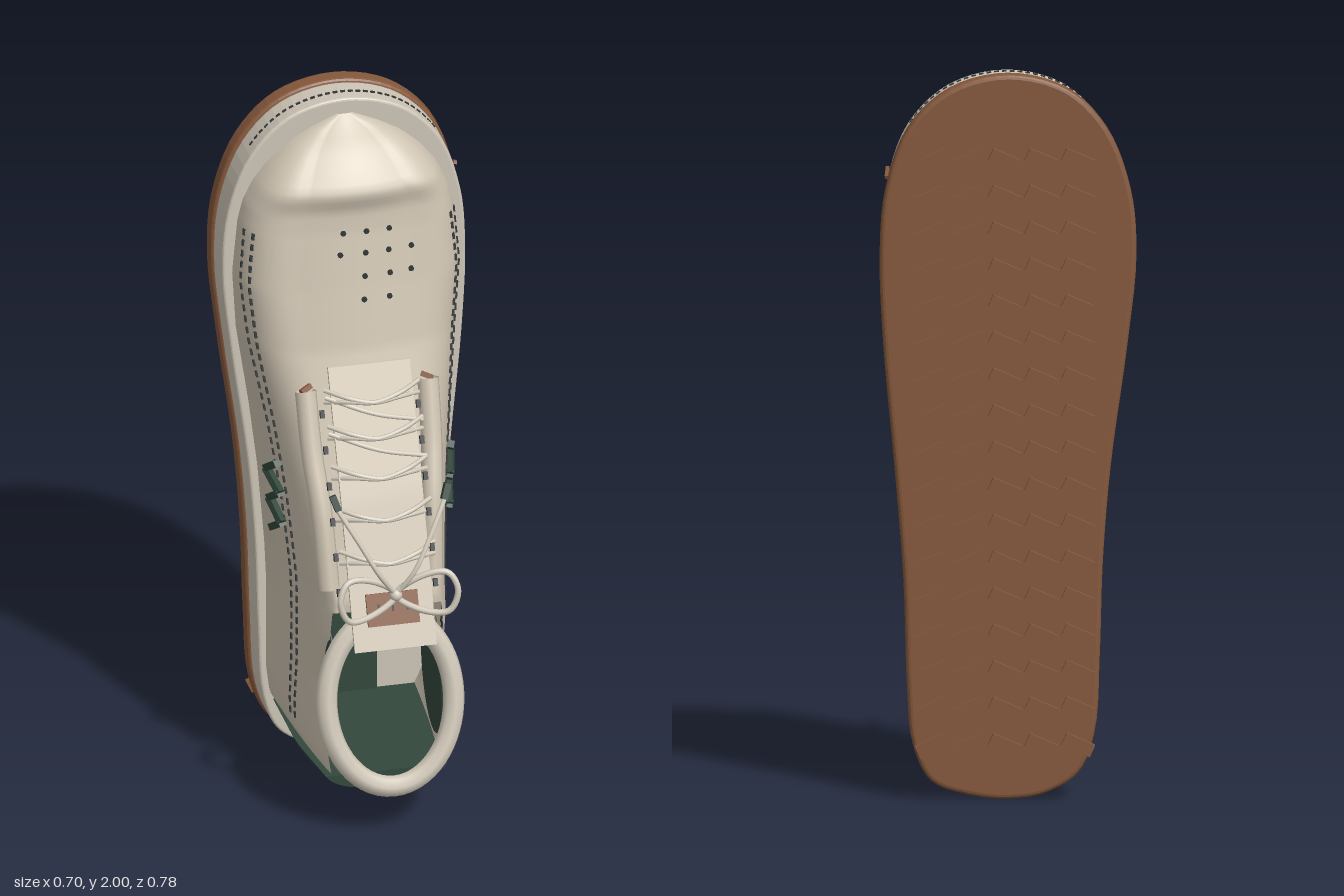
import * as THREE from 'three';

const mat = (name, color, side = THREE.FrontSide) => {
  const m = new THREE.MeshStandardMaterial({ color, side });
  m.name = name;
  return m;
};

// Upper stations: y, centre x, base half width, top half width, top z, side fullness, crown
const STATIONS = [
  [0.16, 0.00, 0.19, 0.150, 0.26, 0.3, 0],
  [0.20, 0.00, 0.21, 0.155, 0.25, 0.3, 0],
  [0.28, 0.01, 0.23, 0.165, 0.19, 0.3, 0],
  [0.40, 0.015, 0.235, 0.170, 0.14, 0.3, 0],
  [0.55, 0.02, 0.24, 0.160, 0.19, 0.3, 0],
  [0.66, 0.02, 0.245, 0.150, 0.20, 0.3, 0.01],
  [0.90, 0.015, 0.26, 0.160, 0.14, 0.4, 0.02],
  [1.10, 0.01, 0.28, 0.165, 0.075, 0.55, 0.02],
  [1.33, 0, 0.305, 0.165, 0.0, 0.8, 0.02],
  [1.50, 0, 0.315, 0.165, -0.035, 0.95, 0.02],
  [1.66, 0, 0.30, 0.16, -0.065, 1, 0.015],
  [1.72, 0, 0.285, 0.155, -0.07, 1, 0.015],
  [1.78, 0, 0.255, 0.14, -0.05, 1, 0.02],
  [1.83, 0, 0.215, 0.12, -0.085, 1, 0.02],
  [1.88, 0, 0.16, 0.09, -0.13, 1, 0.015],
  [1.92, 0, 0.09, 0.05, -0.18, 1, 0.01],
  [1.95, 0, 0.02, 0.01, -0.212, 1, 0]
];
const BASE = -0.225;

function station(y) {
  const c = THREE.MathUtils.clamp(y, 0.16, 1.95);
  let i = 0;
  while (i < STATIONS.length - 2 && STATIONS[i + 1][0] < c) i++;
  const a = STATIONS[i], b = STATIONS[i + 1], t = (c - a[0]) / (b[0] - a[0]);
  return a.map((v, k) => v + (b[k] - v) * t);
}

// Point on the upper: v runs -1..1 across the foot, the middle 0.6 is the instep
function upperPoint(y, v) {
  const [, cx, w, t, top, full, crown] = station(y);
  const a = Math.abs(v), s = Math.sign(v);
  if (a <= 0.6) return new THREE.Vector3(cx + t * v / 0.6, y, top - crown * (v / 0.6) ** 2);
  const q = (1 - a) / 0.4, edge = top - crown;
  const kx = THREE.MathUtils.lerp((w + t) / 2, w, full);
  const kz = THREE.MathUtils.lerp((BASE + edge) / 2, edge, full);
  const bez = (p0, p1, p2) => (1 - q) ** 2 * p0 + 2 * q * (1 - q) * p1 + q * q * p2;
  return new THREE.Vector3(cx + s * bez(w, kx, t), y, bez(BASE, kz, edge));
}

// Point on the side wall at a given height z
function wallPoint(y, z, side) {
  let lo = 0.6, hi = 1;
  for (let i = 0; i < 20; i++) {
    const m = (lo + hi) / 2;
    if (upperPoint(y, m).z > z) lo = m; else hi = m;
  }
  return upperPoint(y, side * lo);
}

function upperGeometry() {
  const rows = 110, cols = 40, pos = [], idx = [];
  for (let i = 0; i <= rows; i++)
    for (let j = 0; j <= cols; j++) pos.push(...upperPoint(0.16 + 1.79 * i / rows, j / cols * 2 - 1).toArray());
  for (let i = 0; i < rows; i++)
    for (let j = 0; j < cols; j++) {
      const y = 0.16 + 1.79 * (i + 0.5) / rows, v = (j + 0.5) / cols * 2 - 1;
      if (y < 0.63 && Math.abs(v) < 0.6) continue; // foot opening
      const a = i * (cols + 1) + j, b = a + 1, c = a + cols + 1, d = c + 1;
      idx.push(a, b, c, b, d, c);
    }
  const g = new THREE.BufferGeometry();
  g.setAttribute('position', new THREE.Float32BufferAttribute(pos, 3));
  g.setIndex(idx);
  g.computeVertexNormals();
  return g;
}

// Footprint of the sole, starting at the toe and going down the +x side
const OUTLINE = [[0, 2], [0.16, 1.96], [0.275, 1.85], [0.335, 1.68], [0.35, 1.5], [0.34, 1.25], [0.31, 0.92],
  [0.285, 0.6], [0.275, 0.3], [0.26, 0.15], [0.21, 0.05], [0.1, 0.01], [0, 0], [-0.1, 0.015], [-0.19, 0.07],
  [-0.235, 0.18], [-0.25, 0.4], [-0.258, 0.65], [-0.28, 0.92], [-0.325, 1.25], [-0.35, 1.5], [-0.335, 1.68], [-0.27, 1.85], [-0.16, 1.96]];
const outlineCurve = new THREE.CatmullRomCurve3(OUTLINE.map(([x, y]) => new THREE.Vector3(x, y, 0)), true);

function slab(inset, z0, z1, bevel) {
  const pts = outlineCurve.getPoints(120).slice(0, 120).map(p => new THREE.Vector2(p.x, p.y));
  const g = new THREE.ExtrudeGeometry(new THREE.Shape(pts.reverse()), {
    depth: z1 - z0 - 2 * bevel, bevelThickness: bevel, bevelSize: bevel, bevelOffset: -bevel - inset, bevelSegments: 3
  });
  return g.translate(0, 0, z0 + bevel);
}

export function createModel() {
  const group = new THREE.Group();
  const cream = mat('cream leather', 0xd0c5b3, THREE.DoubleSide);
  const chalk = mat('midsole cream', 0xcdc5b6);
  const lace = mat('lace cream', 0xd2cabb);
  const brown = mat('brown rubber', 0x85583b);
  const green = mat('dark green', 0x33483c, THREE.DoubleSide);
  const dark = mat('dark thread', 0x35383a);

  const add = (name, geo, material) => {
    const m = new THREE.Mesh(geo, material);
    m.name = name;
    group.add(m);
    return m;
  };
  const V = p => new THREE.Vector3(...p);
  const tube = (name, pts, r, material, closed = false, seg = 32) =>
    add(name, new THREE.TubeGeometry(new THREE.CatmullRomCurve3(pts.map(V), closed), seg, r, 8, closed), material);
  // Short bar between two points
  const bar = (name, a, b, thick, material) => {
    const m = add(name, new THREE.BoxGeometry(thick, a.distanceTo(b), thick), material);
    m.position.copy(a).lerp(b, 0.5);
    m.quaternion.setFromUnitVectors(new THREE.Vector3(0, 1, 0), b.clone().sub(a).normalize());
  };

  // Sole
  add('outsole', slab(0, -0.375, -0.318, 0.012), brown);
  add('midsole', slab(0.008, -0.32, -0.218, 0.008), chalk);
  for (let r = 0; r < 17; r++)
    for (let c = 0; c < 5; c++) {
      const lug = add('treadLug', new THREE.BoxGeometry(0.085, 0.036, 0.02), brown);
      lug.position.set(-0.19 + 0.1 * c, 0.15 + 0.101 * r, -0.38);
      lug.rotation.z = c < 3 ? 0.42 : -0.42;
    }

  // Upper
  add('upper', upperGeometry(), cream);

  // Heel counter, tapering towards the collar
  const heel = new THREE.Shape();
  heel.moveTo(-0.2, 0.175);
  heel.bezierCurveTo(-0.17, 0.09, -0.09, 0.07, 0, 0.065);
  heel.bezierCurveTo(0.09, 0.07, 0.17, 0.09, 0.2, 0.175);
  heel.closePath();
  const heelGeo = new THREE.ExtrudeGeometry(heel, { depth: 0.485, steps: 10, bevelEnabled: false, curveSegments: 16 });
  heelGeo.translate(0, 0, -0.215);
  const hp = heelGeo.attributes.position;
  for (let i = 0; i < hp.count; i++) {
    const k = Math.max(0, (hp.getZ(i) - 0.05) / 0.22);
    hp.setY(i, 0.175 - (0.175 - hp.getY(i)) * (1 - 0.55 * k));
    hp.setX(i, hp.getX(i) * (1 - 0.15 * k));
  }
  heelGeo.computeVertexNormals();
  add('heelCounter', heelGeo, green);

  // Lining: footbed strip and padded flaps inside the collar
  add('footbed', new THREE.BoxGeometry(0.16, 0.46, 0.008), green).position.set(0.01, 0.4, -0.212);
  for (const s of [-1, 1]) {
    const flap = add('liningPad', new THREE.SphereGeometry(1, 24, 16), green);
    flap.scale.set(0.014, 0.19, 0.115);
    flap.position.set(0.012 + s * 0.148, 0.41, 0.14);
    flap.rotation.x = -0.2;
  }

  // Padded collar ring
  const ring = [];
  for (let i = 0; i < 24; i++) {
    const a = i / 24 * Math.PI * 2;
    ring.push([0.01 + 0.178 * Math.cos(a), 0.39 + 0.24 * Math.sin(a), 0.27 - 0.05 * Math.sin(a)]);
  }
  tube('collar', ring, 0.03, lace, true, 64);

  // Tongue plate with its tab
  const tongueZ = y => y > 0.97 ? 0.02 + (1.3 - y) * 0.46 : 0.172 + (0.97 - y) * 0.41;
  const tongue = new THREE.BoxGeometry(0.23, 0.72, 0.01, 1, 24, 1);
  const tp = tongue.attributes.position;
  for (let i = 0; i < tp.count; i++) {
    const y = tp.getY(i) + 0.94;
    tp.setXYZ(i, tp.getX(i) + 0.01, y, tp.getZ(i) + tongueZ(y));
  }
  tongue.computeVertexNormals();
  add('tongue', tongue, cream);
  const tab = add('tongueTab', new THREE.BoxGeometry(0.145, 0.09, 0.008), brown);
  tab.position.set(0.01, 0.685, tongueZ(0.685) + 0.009);
  tab.rotation.x = -0.39;
  for (const x of [-0.03, 0.01, 0.05]) bar('tabStitch', V([x, 0.66, 0.309]), V([x, 0.7, 0.293]), 0.006, dark);

  // Eyelet bars, rivets and eyelets
  for (const s of [-1, 1]) {
    tube('eyeletBar', [[s * 0.172, 1.24, 0.03], [s * 0.168, 1.08, 0.085], [s * 0.155, 0.92, 0.145], [s * 0.145, 0.71, 0.19]]
      .map(([x, y, z]) => [x + 0.003, y, z]), 0.03, cream);
    bar('rivet', V([s * 0.185, 1.245, 0.045]), V([s * 0.155, 1.255, 0.03]), 0.014, brown);
    for (let i = 0; i < 6; i++) {
      const y = 1.2 - i * 0.09;
      bar('eyelet', V([s * 0.135, y, tongueZ(y) + 0.012]), V([s * 0.135, y - 0.02, tongueZ(y) + 0.02]), 0.012, dark);
    }
  }

  // Lace rungs, each a pair of slightly crossing strands
  [1.225, 1.135, 1.035, 0.93, 0.82].forEach((y, i) => {
    for (const s of [-1, 1]) {
      const tilt = s * 0.018, z = tongueZ(y);
      tube('laceRung', [[-0.12, y + tilt, z - 0.01], [-0.06, y + tilt * 0.3, z + 0.03], [0.01, y - 0.01, z + 0.04],
        [0.08, y - tilt * 0.3, z + 0.03], [0.145, y - tilt, z - 0.01]], 0.0065, lace);
    }
    if (i < 2) tube('laceCross', [[-0.12, y, tongueZ(y)], [0.01, y - 0.045, tongueZ(y) + 0.04], [0.145, y - 0.08, tongueZ(y - 0.08)]], 0.0065, lace);
  });

  // Bow: knot, two loops, two free ends with tips
  const knot = add('bowKnot', new THREE.SphereGeometry(0.018, 12, 8), lace);
  knot.position.set(0.01, 0.745, 0.335);
  for (const s of [-1, 1]) {
    const P = (x, y, z) => [0.01 + s * x, y, z];
    tube('bowLoop', [P(0, 0.745, 0.335), P(0.07, 0.8, 0.345), P(0.14, 0.81, 0.36), P(0.165, 0.76, 0.375),
      P(0.14, 0.7, 0.375), P(0.07, 0.7, 0.355)], 0.009, lace, true, 48);
    tube('laceEnd', [P(0, 0.745, 0.335), P(0.05, 0.82, 0.35), P(0.1, 0.91, 0.325), P(0.152, 1.0, 0.28)], 0.007, lace);
    bar('laceTip', V(P(0.148, 0.995, 0.283)), V(P(0.162, 1.035, 0.268)), 0.018, green);
  }

  // Side stitching and zigzag embroidery
  const stitchZ = y => THREE.MathUtils.lerp(0.01, -0.13, THREE.MathUtils.smoothstep(y, 0.5, 1.7));
  for (const s of [-1, 1]) {
    for (const off of [0, -0.035])
      for (let y = 0.23; y < 1.64; y += 0.032)
        bar('sideStitch', wallPoint(y, stitchZ(y) + off, s), wallPoint(y + 0.018, stitchZ(y + 0.018) + off, s), 0.008, dark);
    const zig = [];
    for (let i = 0; i < 6; i++) {
      const p = wallPoint(0.99 - i * 0.046, i % 2 ? -0.112 : -0.04, s);
      zig.push(p.setX(p.x + s * 0.012));
    }
    for (let i = 0; i < 5; i++) bar('sideZigzag', zig[i], zig[i + 1], 0.02, green);
  }

  // Stitching round the toe of the midsole
  for (let i = -14; i <= 14; i++) {
    const at = d => {
      const p = outlineCurve.getPointAt((1 + (i + d) * 0.0046) % 1);
      return new THREE.Vector3(p.x * 0.98, p.y - 0.007, -0.26);
    };
    bar('toeStitch', at(0), at(0.6), 0.006, dark);
  }
  bar('looseThread', V([0.325, 1.73, -0.27]), V([0.33, 1.71, -0.315]), 0.01, brown);

  // Toe perforations
  for (const [y, xs] of [[1.66, [-0.04, 0.025, 0.09]], [1.6, [-0.05, 0.02, 0.085, 0.15]], [1.535, [0.015, 0.085, 0.145]], [1.47, [0.01, 0.08]]])
    for (const x of xs) {
      const dot = add('perforation', new THREE.CylinderGeometry(0.008, 0.008, 0.008, 8).rotateX(Math.PI / 2), dark);
      dot.position.copy(upperPoint(y, x / 0.16 * 0.6));
    }

  return group;
}
